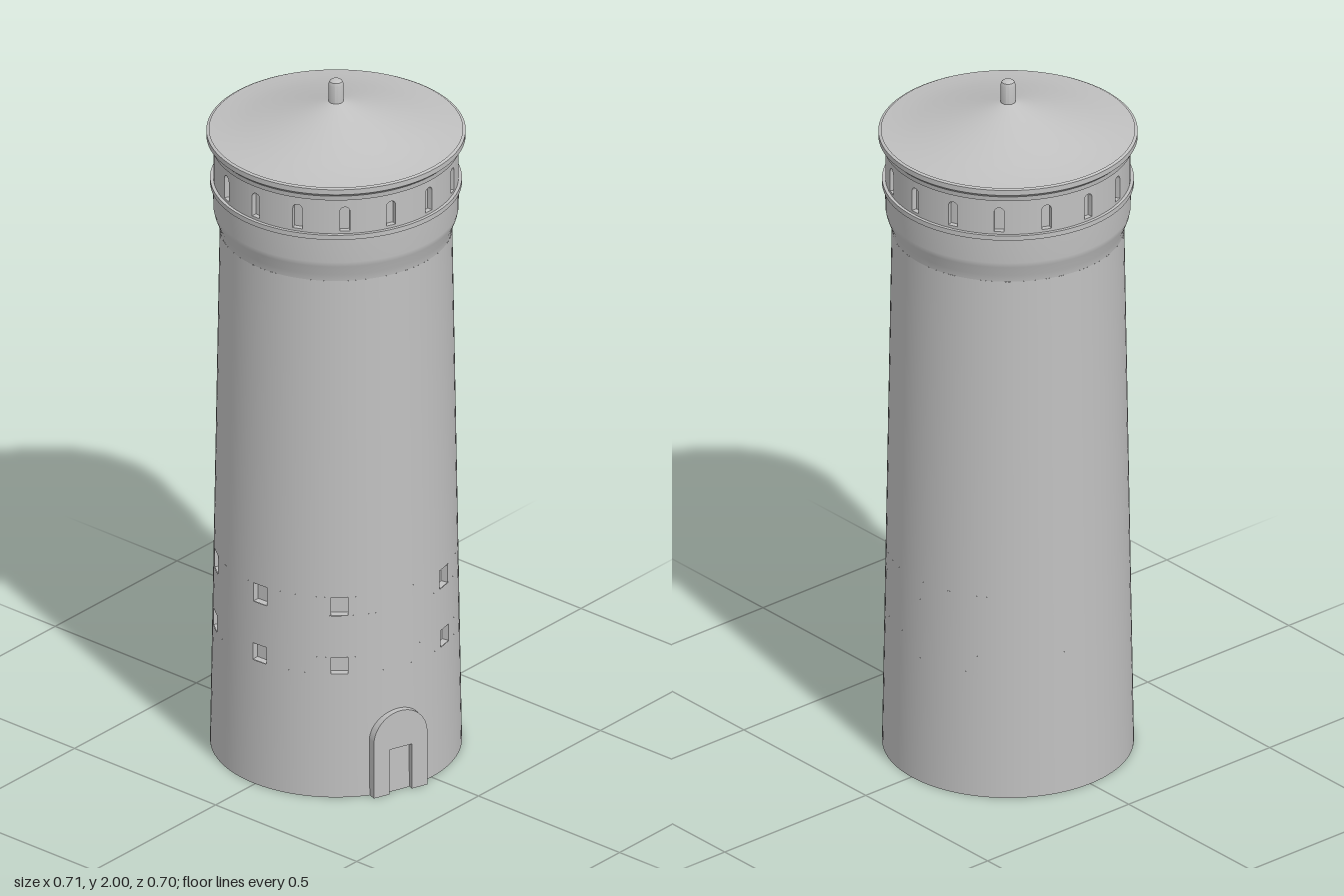
import * as THREE from 'three';
import { toCreasedNormals } from 'three/addons/utils/BufferGeometryUtils.js';

const stone = new THREE.MeshStandardMaterial({ color: 0xc0c0c0, side: THREE.DoubleSide });
stone.name = 'stone grey';

const rad = THREE.MathUtils.degToRad;
const SEG = 96;

// Tapering shaft radius at a given height
const shaftRadius = (y) => 0.338 - (0.026 * y) / 1.56;

export function createModel() {
  const model = new THREE.Group();
  model.name = 'tower';
  const body = new THREE.Group();
  body.name = 'towerBody';
  body.position.x = -0.005;
  model.add(body);

  const add = (name, geometry, parent = body) => {
    const mesh = new THREE.Mesh(geometry, stone);
    mesh.name = name;
    parent.add(mesh);
    return mesh;
  };

  // Turned part from [radius, height] pairs, bottom to top; angles start at the front
  const turned = (points, start = 0, length = Math.PI * 2) => {
    const profile = points.map(([r, y]) => new THREE.Vector2(r, y));
    const count = Math.max(2, Math.round((SEG * length) / (Math.PI * 2)));
    return new THREE.LatheGeometry(profile, count, start, length);
  };
  const turnedSharp = (points) => toCreasedNormals(turned(points), rad(30));
  const shaftBand = (y0, y1, start, length) =>
    turned([[shaftRadius(y0), y0], [shaftRadius(y1), y1]], start, length);

  // Shaft: plain bands, and bands broken by the windows
  const windowAngles = [-37.5, 2.5, 42.5, 102.5].map(rad);
  const windowRows = [[0.37, 0.42], [0.545, 0.6]];
  const windowWidth = 0.046;
  const nicheDepth = 0.02;
  let floor = 0;
  for (const [y0, y1] of windowRows) {
    add('shaftWall', shaftBand(floor, y0));
    const r = shaftRadius((y0 + y1) / 2);
    const half = Math.asin(windowWidth / 2 / r);
    windowAngles.forEach((angle, i) => {
      const next = i + 1 < windowAngles.length ? windowAngles[i + 1] : windowAngles[0] + Math.PI * 2;
      add('shaftWallBetweenWindows', shaftBand(y0, y1, angle + half, next - angle - 2 * half));

      // Niche: a box without its front face
      const box = new THREE.BoxGeometry(windowWidth, y1 - y0, nicheDepth);
      box.setIndex([...box.index.array].filter((_, k) => k < 24 || k >= 30));
      box.clearGroups();
      box.translate(0, (y0 + y1) / 2, r * Math.cos(half) - nicheDepth / 2);
      add('windowNiche', box).rotation.y = angle;
    });
    floor = y1;
  }
  add('shaftWall', shaftBand(floor, 1.55));

  // Underside
  const base = new THREE.CircleGeometry(0.338, SEG);
  base.rotateX(Math.PI / 2);
  add('base', base);

  // Flared head under the gallery
  add('flaredHead', turned([[0.312, 1.55], [0.315, 1.57], [0.326, 1.6], [0.329, 1.615], [0.33, 1.69]]));
  add('galleryRing', turnedSharp([[0.32, 1.688], [0.338, 1.688], [0.338, 1.702], [0.315, 1.702]]));

  // Gallery: sixteen arched slots, each in a panel bent round the tower
  const outer = 0.329, inner = 0.314, low = 1.7, high = 1.82;
  const panelHalf = 0.025, slotHalf = 0.0135;
  const panel = new THREE.Shape();
  panel.moveTo(-panelHalf, low).lineTo(0, low).lineTo(panelHalf, low);
  panel.lineTo(panelHalf, high).lineTo(0, high).lineTo(-panelHalf, high).closePath();
  const slot = new THREE.Path();
  slot.moveTo(-slotHalf, 1.71).lineTo(slotHalf, 1.71).lineTo(slotHalf, 1.769);
  slot.absarc(0, 1.769, slotHalf, 0, Math.PI, false);
  slot.closePath();
  panel.holes.push(slot);
  const bent = new THREE.ExtrudeGeometry(panel, { depth: outer - inner, bevelEnabled: false, curveSegments: 8 });
  const p = bent.attributes.position;
  for (let i = 0; i < p.count; i++) {
    const a = p.getX(i) / outer, r = inner + p.getZ(i);
    p.setXYZ(i, r * Math.sin(a), p.getY(i), r * Math.cos(a));
  }
  const slotPanel = toCreasedNormals(bent, rad(30));
  const step = Math.PI / 8, panelAngle = panelHalf / outer;
  const pier = turned([[outer, low], [outer, high]], panelAngle, step - 2 * panelAngle);
  const gallery = new THREE.Group();
  gallery.name = 'gallery';
  body.add(gallery);
  for (let i = 0; i < 16; i++) {
    add('gallerySlot', slotPanel, gallery).rotation.y = i * step;
    add('galleryPier', pier, gallery).rotation.y = i * step;
  }
  add('galleryBacking', turned([[inner, low], [inner, high]]), gallery);

  // Cornice and gently concave roof
  add('cornice', turnedSharp([
    [0.31, 1.806], [0.335, 1.806], [0.337, 1.82], [0.348, 1.83], [0.348, 1.845], [0.34, 1.848],
  ]));
  add('roof', turned([[0.348, 1.844], [0.3, 1.85], [0.24, 1.863], [0.16, 1.886], [0.08, 1.912], [0, 1.94]]));

  // Finial with a rounded top
  add('finial', turnedSharp([
    [0.02, 1.92], [0.02, 1.985], [0.017, 1.993], [0.01, 1.998], [0, 2],
  ]));

  // Arched door surround, open in the middle down to the ground
  const w = 0.0825, d = 0.035, doorTop = 0.135;
  const arch = new THREE.Shape();
  arch.moveTo(d, 0).lineTo(w, 0).lineTo(w, 0.1625);
  arch.absarc(0, 0.1625, w, 0, Math.PI, false);
  arch.lineTo(-w, 0).lineTo(-d, 0).lineTo(-d, doorTop).lineTo(d, doorTop).closePath();
  const surround = new THREE.ExtrudeGeometry(arch, { depth: 0.04, bevelEnabled: false, curveSegments: 20 });
  surround.translate(0, 0, 0.31);
  add('doorSurround', toCreasedNormals(surround, rad(30))).rotation.y = rad(70.5);

  return model;
}
